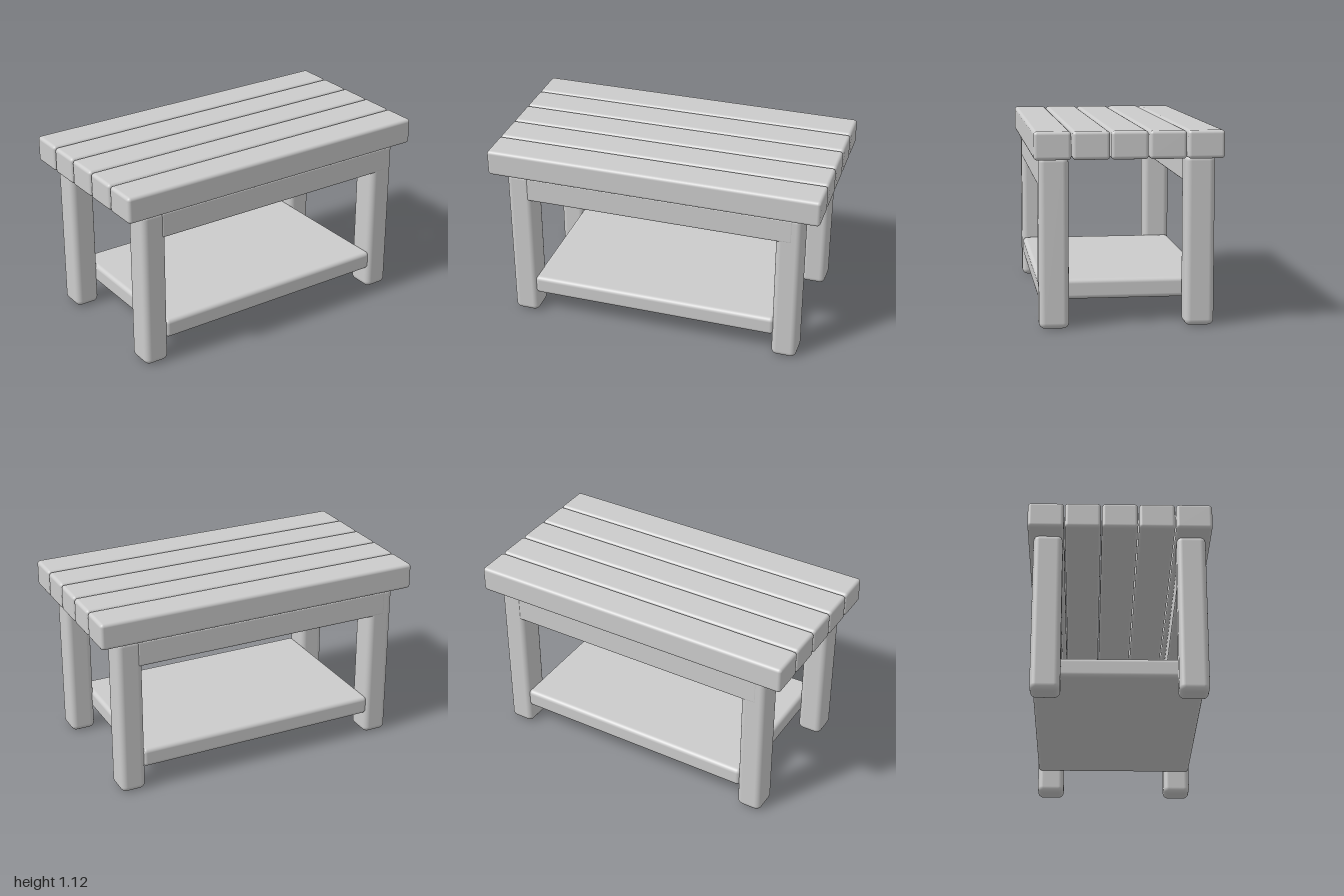
import * as THREE from 'three';
import { RoundedBoxGeometry } from 'three/addons/geometries/RoundedBoxGeometry.js';

export function createModel() {
  const table = new THREE.Group();
  table.name = 'slattedTable';
  const grey = new THREE.MeshStandardMaterial({ color: 0xcccccc });
  grey.name = 'plain grey';

  // Beam with softly rounded edges, placed by its centre
  const addBeam = (name, [w, h, d], [x, y, z], radius) => {
    const mesh = new THREE.Mesh(new RoundedBoxGeometry(w, h, d, 4, radius), grey);
    mesh.name = name;
    mesh.position.set(x, y, z);
    table.add(mesh);
  };

  // Five top planks with narrow gaps
  for (let i = -2; i <= 2; i++) {
    addBeam('topPlank', [2, 0.157, 0.206], [0, 1.037, i * 0.2115], 0.02);
  }

  // Four legs
  for (const sx of [-1, 1]) {
    for (const sz of [-1, 1]) {
      addBeam('leg', [0.152, 0.97, 0.168], [sx * 0.82, 0.485, sz * 0.41], 0.035);
    }
  }

  // Front and back aprons, each offset a little towards its own left
  for (const s of [-1, 1]) {
    addBeam('apron', [1.62, 0.156, 0.15], [s * 0.035, 0.878, s * 0.42], 0.015);
  }

  // Lower shelf between the legs
  addBeam('shelf', [1.51, 0.115, 0.98], [0, 0.197, 0], 0.025);

  return table;
}
